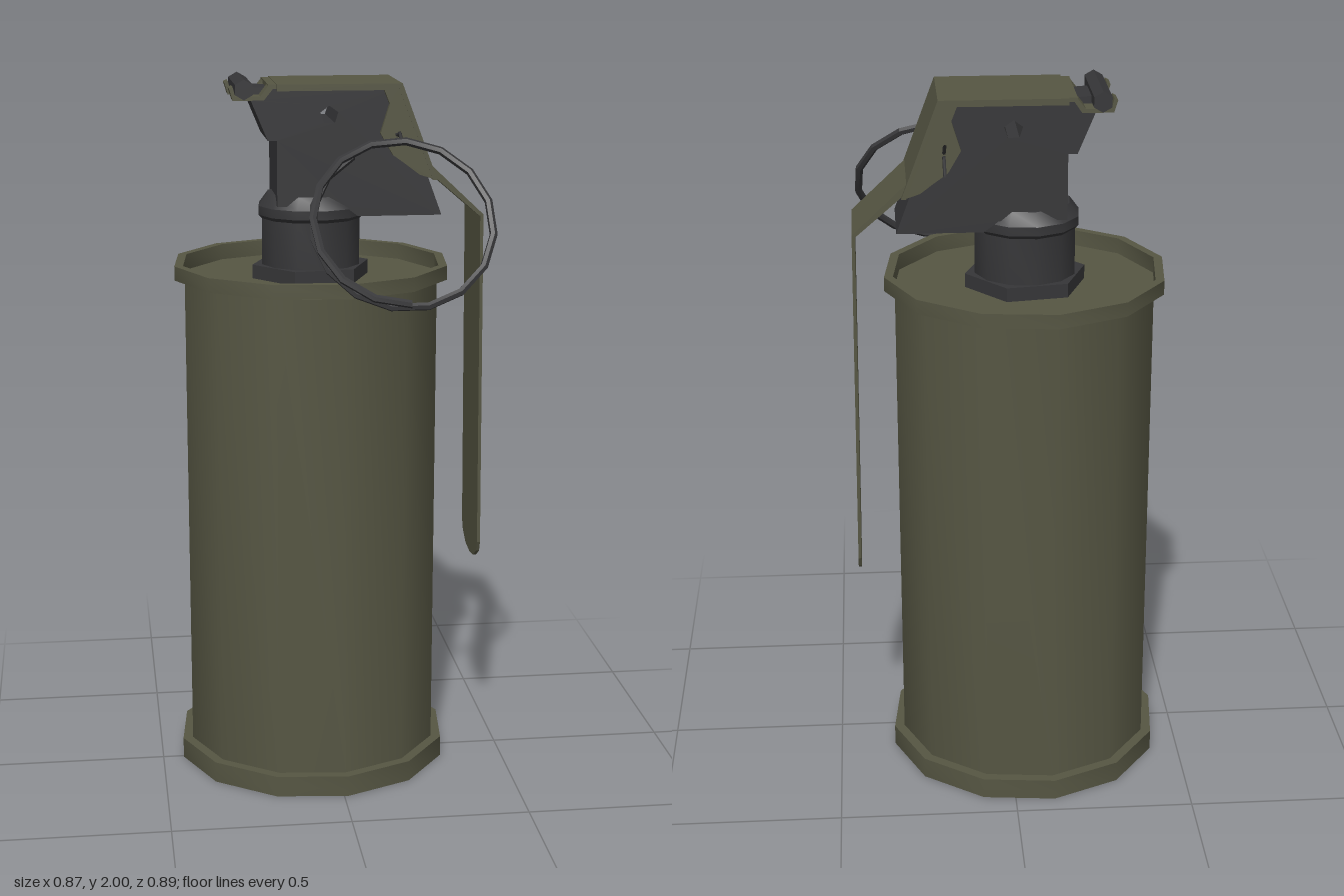
import * as THREE from 'three';
import { toCreasedNormals } from 'three/addons/utils/BufferGeometryUtils.js';

const CX = -0.05, CZ = -0.055; // axis of the canister

export function createModel() {
  const model = new THREE.Group();
  const olive = new THREE.MeshStandardMaterial({ color: 0x565643 });
  olive.name = 'olivePaint';
  const dark = new THREE.MeshStandardMaterial({ color: 0x363638 });
  dark.name = 'darkMetal';

  const add = (name, geometry, material, parent = model) => {
    const mesh = new THREE.Mesh(geometry, material);
    mesh.name = name;
    parent.add(mesh);
    return mesh;
  };
  const vecs = (pts) => pts.map(([x, y]) => new THREE.Vector2(x, y));

  // Turned part around the canister axis, smooth around and sharp at the rims
  const turned = (name, profile, sides, startDeg, material, crease = 0.6) => {
    const g = new THREE.LatheGeometry(vecs(profile), sides, THREE.MathUtils.degToRad(startDeg));
    add(name, toCreasedNormals(g, crease), material).position.set(CX, 0, CZ);
  };

  // Flat profile in x/y, extruded from z0 to z1
  const slab = (name, outline, z0, z1, material, parent, hole) => {
    const shape = new THREE.Shape(vecs(outline));
    if (hole) shape.holes.push(new THREE.Path(vecs(hole)));
    const g = new THREE.ExtrudeGeometry(shape, { depth: z1 - z0, bevelEnabled: false });
    return add(name, g.translate(0, 0, z0), material, parent);
  };

  // Canister with rolled rims and a recessed lid
  turned('canister', [
    [0, 0], [0.395, 0], [0.395, 0.06], [0.366, 0.06], [0.366, 1.44],
    [0.395, 1.44], [0.395, 1.48], [0.37, 1.48], [0.37, 1.435], [0, 1.435],
  ], 12, 9, olive);

  // Hexagonal nut, neck and collar
  turned('neckNut', [[0, 1.43], [0.17, 1.43], [0.17, 1.474], [0, 1.474]], 6, 39, dark);
  turned('neck', [
    [0.142, 1.44], [0.142, 1.605], [0.151, 1.615], [0.151, 1.64], [0.125, 1.675], [0, 1.675],
  ], 12, 9, dark);

  // Fuze head with a cross hole
  const hole = [];
  for (let i = 0; i < 5; i++) {
    const a = Math.PI / 2 + (i * Math.PI * 2) / 5;
    hole.push([-0.01 + 0.026 * Math.cos(a), 1.9 + 0.026 * Math.sin(a)]);
  }
  slab('fuzeHead', [
    [-0.155, 1.65], [0.03, 1.65], [0.07, 1.62], [0.305, 1.62], [0.175, 1.972],
    [-0.17, 1.972], [-0.19, 1.943], [-0.225, 1.94], [-0.18, 1.832], [-0.155, 1.832],
  ], -0.172, 0.06, dark, model, hole);

  // Hinge pin held by a tongue
  slab('hingeTongue', [[-0.245, 1.94], [-0.17, 1.94], [-0.17, 1.97], [-0.245, 1.975]], -0.115, 0, dark);
  const pin = new THREE.CylinderGeometry(0.028, 0.028, 0.25, 6).toNonIndexed();
  pin.computeVertexNormals();
  pin.rotateX(Math.PI / 2);
  add('hingePin', pin, dark).position.set(-0.245, 1.972, CZ);

  // Safety lever: cover, side flanges, hooks and strap
  const lever = new THREE.Group();
  lever.name = 'safetyLever';
  model.add(lever);
  slab('leverCover', [
    [-0.155, 1.973], [0.181, 1.973], [0.277, 1.72], [0.29, 1.72], [0.19, 1.986], [-0.155, 1.986],
  ], -0.19, 0.077, olive, lever);
  slab('leverCoverLip', [[-0.178, 1.973], [-0.15, 1.973], [-0.15, 1.985], [-0.178, 1.985]],
    -0.175, 0.062, olive, lever);
  const flange = [
    [-0.155, 1.985], [-0.155, 1.968], [0.14, 1.968], [0.155, 1.93], [0.13, 1.85],
    [0.165, 1.79], [0.2, 1.765], [0.24, 1.735], [0.285, 1.72], [0.186, 1.985],
  ];
  for (const z of [-0.189, 0.06]) slab('leverFlange', flange, z, z + 0.016, olive, lever);
  for (const z of [-0.172, 0.003]) {
    slab('leverHook', [
      [-0.285, 1.975], [-0.275, 1.942], [-0.19, 1.942], [-0.165, 1.973],
      [-0.175, 1.985], [-0.2, 1.953], [-0.268, 1.953], [-0.275, 1.98],
    ], z, z + 0.057, olive, lever);
  }
  slab('leverBend', [[0.262, 1.745], [0.413, 1.615], [0.423, 1.62], [0.272, 1.762]],
    -0.174, 0.063, olive, lever);
  const strap = new THREE.Shape(vecs([
    [-0.174, 0], [-0.174, -0.965], [-0.16, -0.995], [-0.115, -1.022], [-0.055, -1.03],
    [0.005, -1.022], [0.05, -0.995], [0.063, -0.965], [0.063, 0],
  ]));
  const strapGeometry = new THREE.ExtrudeGeometry(strap, { depth: 0.009, bevelEnabled: false });
  strapGeometry.rotateY(-Math.PI / 2).rotateZ(0.009).translate(0.424, 1.62, 0);
  add('leverStrap', strapGeometry, olive, lever);

  // Split pin with splayed ends
  const hairpin = new THREE.CurvePath();
  const bends = [
    [1.88, -0.25], [1.847, -0.195], [1.847, 0.1], [1.858, 0.13], [1.842, 0.15],
    [1.826, 0.13], [1.834, 0.1], [1.834, -0.195], [1.8, -0.25],
  ].map(([y, z]) => new THREE.Vector3(0.175, y, z));
  for (let i = 1; i < bends.length; i++) hairpin.add(new THREE.LineCurve3(bends[i - 1], bends[i]));
  add('splitPin', new THREE.TubeGeometry(hairpin, 90, 0.005, 5), dark);

  // Pull ring: a tilted coil of nearly one and a half turns
  class Coil extends THREE.Curve {
    getPoint(t, target = new THREE.Vector3()) {
      const a = Math.PI / 2 + t * Math.PI * 2 * 1.42;
      const v = 0.245 * Math.sin(a), n = 0.016 - 0.04 * t;
      return target.set(0.163 + 0.245 * Math.cos(a), 1.636 - 0.82 * v + 0.57 * n, 0.286 + 0.57 * v + 0.82 * n);
    }
  }
  const coil = new THREE.TubeGeometry(new Coil(), 22, 0.011, 6);
  add('pullRing', toCreasedNormals(coil, 0.3), dark).material.side = THREE.DoubleSide;

  return model;
}
